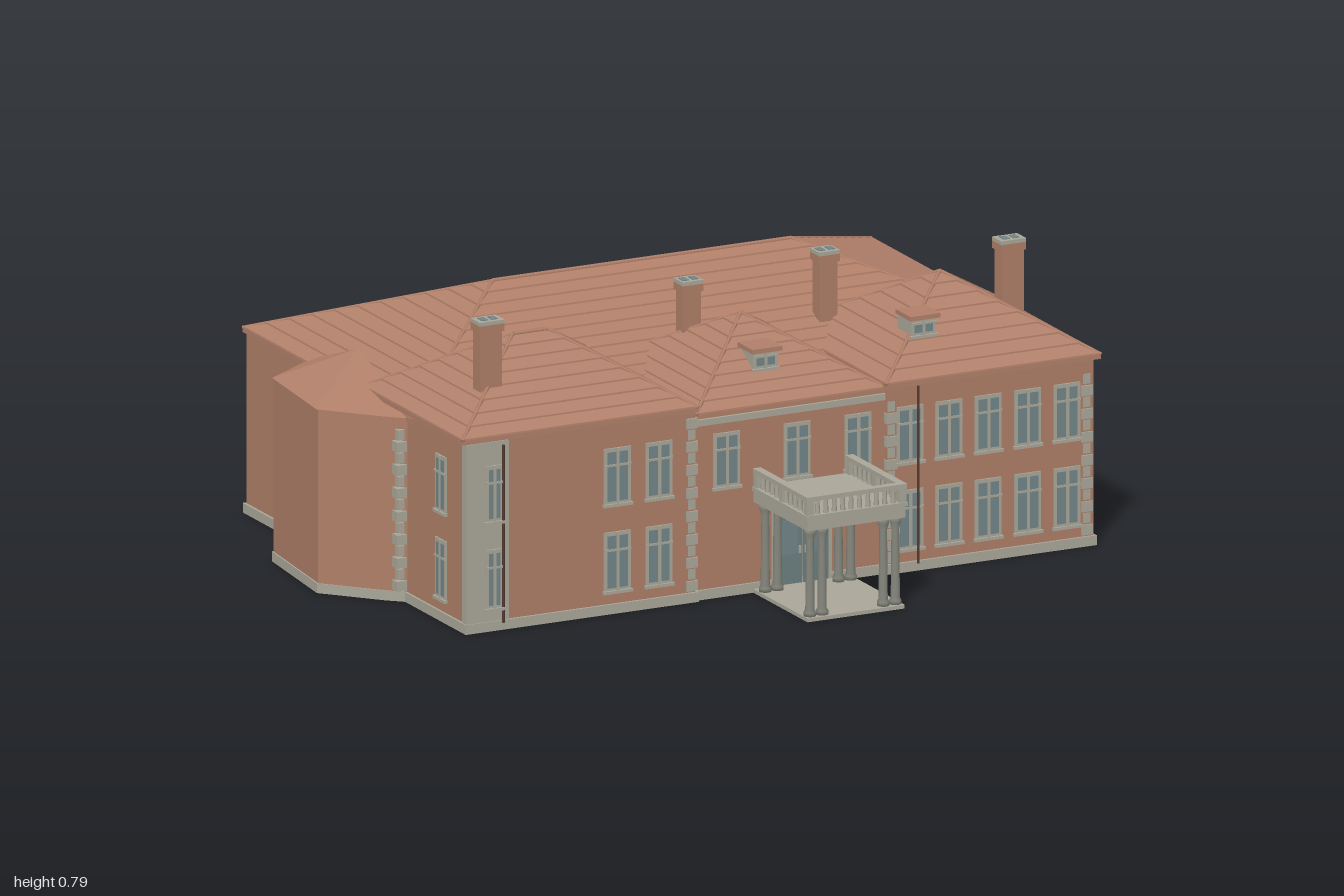
import * as THREE from 'three';

const mat = (name, color) => Object.assign(new THREE.MeshStandardMaterial({ color }), { name });

export function createModel() {
  const M = {
    brick: mat('brick', 0xae7e67), tile: mat('roof tile', 0xb07f69), dark: mat('dark trim', 0x553a30),
    stone: mat('stone', 0xa9a698), column: mat('column stone', 0x85867c),
    glass: mat('glass', 0x728486), door: mat('door', 0x6c7f81),
  };
  const root = new THREE.Group();
  root.name = 'house';

  const add = (name, geo, material, parent = root) => {
    const m = new THREE.Mesh(geo, material);
    m.name = name;
    parent.add(m);
    return m;
  };
  // Box given by its extents
  const box = (name, x0, x1, y0, y1, z0, z1, material, parent = root) => {
    const m = add(name, new THREE.BoxGeometry(x1 - x0, y1 - y0, z1 - z0), material, parent);
    m.position.set((x0 + x1) / 2, (y0 + y1) / 2, (z0 + z1) / 2);
  };
  const group = (name, parent = root) => {
    const g = new THREE.Group();
    g.name = name;
    parent.add(g);
    return g;
  };
  // Upright prism over a plan of [x, z] points
  const prism = (name, pts, y0, y1, material) => {
    const shape = new THREE.Shape(pts.map(([x, z]) => new THREE.Vector2(x, -z)));
    const g = new THREE.ExtrudeGeometry(shape, { depth: y1 - y0, bevelEnabled: false });
    add(name, g.rotateX(-Math.PI / 2).translate(0, y0, 0), material);
  };
  const faces = (pos) => {
    const g = new THREE.BufferGeometry();
    g.setAttribute('position', new THREE.Float32BufferAttribute(pos.flat(), 3));
    g.computeVertexNormals();
    return g;
  };
  const beam = (name, a, b, r, material, parent) => {
    const p = new THREE.Vector3(...a), q = new THREE.Vector3(...b), d = q.clone().sub(p);
    const m = add(name, new THREE.CylinderGeometry(r, r, d.length(), 6), material, parent);
    m.position.copy(p).add(q).multiplyScalar(0.5);
    m.quaternion.setFromUnitVectors(new THREE.Vector3(0, 1, 0), d.normalize());
  };

  // Hipped roof in lapped courses; rx is half the ridge length
  const hipRoof = (name, x0, x1, z0, z1, y0, y1, rx, n) => {
    const g = group(name);
    const cx = (x0 + x1) / 2, cz = (z0 + z1) / 2, hw = (x1 - x0) / 2, hd = (z1 - z0) / 2;
    const ring = (t, lift = 0) => [[-1, 1], [1, 1], [1, -1], [-1, -1]].map(([sx, sz]) =>
      [cx + sx * (hw + (rx - hw) * t), y0 + (y1 - y0) * t + lift, cz + sz * hd * (1 - t)]);
    const tiles = [];
    const band = (lo, hi) => {
      for (let k = 0; k < 4; k++) {
        const j = (k + 1) % 4;
        tiles.push(lo[k], lo[j], hi[j], lo[k], hi[j], hi[k]);
      }
    };
    for (let i = 0; i < n; i++) {
      const lap = ring((i + 0.02) / n, 0.004);
      band(ring(i / n), lap);
      band(lap, ring((i + 1) / n));
    }
    add('tileCourses', faces(tiles), M.tile, g);
    box('eaves', x0, x1, y0 - 0.012, y0, z0, z1, M.tile, g);
    const lo = ring(0), hi = ring(1);
    for (let k = 0; k < 4; k++) beam('hipTiles', lo[k], hi[k], 0.005, M.tile, g);
    if (rx > 0.01) beam('ridgeTiles', hi[0], hi[1], 0.006, M.tile, g);
  };

  // Walls and plinths
  box('mainWalls', -0.825, 0.975, 0.01, 0.485, -0.738, 0.5, M.brick);
  box('leftWingWalls', -0.828, -0.168, 0.01, 0.51, 0, 0.51, M.brick);
  box('rightWingWalls', 0.382, 0.978, 0.01, 0.497, 0, 0.51, M.brick);
  box('plinth', -0.832, 0.982, 0, 0.026, -0.745, 0.506, M.stone);
  box('leftWingPlinth', -0.834, -0.162, 0, 0.026, 0, 0.517, M.stone);
  box('rightWingPlinth', 0.376, 0.984, 0, 0.026, 0, 0.517, M.stone);
  box('cornice', -0.165, 0.38, 0.465, 0.482, 0.49, 0.508, M.stone);

  // Roofs
  hipRoof('mainRoof', -0.83, 0.98, -0.75, 0.21, 0.493, 0.68, 0.43, 11);
  hipRoof('leftWingRoof', -0.845, -0.165, -0.05, 0.52, 0.52, 0.695, 0.05, 8);
  hipRoof('middleRoof', -0.165, 0.385, -0.07, 0.506, 0.496, 0.66, 0, 8);
  hipRoof('rightWingRoof', 0.375, 0.995, -0.09, 0.52, 0.509, 0.695, 0, 8);

  // Side bay with a faceted roof
  const bay = [[-0.8, -0.42], [-0.965, -0.31], [-0.995, 0], [-0.868, 0.14], [-0.8, 0.2]];
  prism('sideBayWalls', [...bay].reverse(), 0.01, 0.49, M.brick);
  prism('sideBayPlinth', bay.map(([x, z]) => [x * 1.004, z * 1.01]).reverse(), 0, 0.026, M.stone);
  const apex = [-0.78, 0.572, -0.2], bayRoof = [];
  for (let i = 0; i < bay.length - 1; i++) {
    const [a, b] = [bay[i], bay[i + 1]].map(([x, z]) => [x * 1.005, 0.491, z]);
    bayRoof.push(a, b, apex);
  }
  add('sideBayRoof', faces(bayRoof), M.tile);

  // Rear bay with a flat stone roof
  const rear = [[-0.38, -0.73], [0.27, -0.73], [0.14, -0.805], [-0.275, -0.812]];
  const rearOuter = rear.map(([x, z]) => [x * 1.01, z * 1.008]);
  prism('rearBayWalls', rear, 0.01, 0.482, M.brick);
  prism('rearBayPlinth', rearOuter, 0, 0.026, M.stone);
  prism('rearBayRoof', rearOuter, 0.482, 0.494, M.stone);

  // Quoins: alternating long and short corner stones
  const quoins = (x, z, top, sx = 0.016, sz = 0.012) => {
    const g = group('quoins');
    for (let i = 0, y = 0.03; y + 0.028 < top; i++, y += 0.031) {
      const k = i % 2 ? 0.65 : 1;
      box('quoinStone', x - sx * k, x + sx * k, y, y + 0.027, z - sz * k, z + sz * k, M.stone, g);
    }
  };
  quoins(-0.18, 0.503, 0.5);
  quoins(0.395, 0.503, 0.49);
  quoins(0.958, 0.503, 0.49);
  quoins(-0.38, -0.738, 0.485);
  quoins(0.27, -0.738, 0.485);
  quoins(-0.83, -0.4, 0.485, 0.014, 0.016);
  quoins(-0.845, 0.165, 0.485, 0.014, 0.014);

  // Windows: stone surround, glass, mullion and transom
  const windowAt = (x, y0, y1, z, w = 0.076, parent = root) => {
    const g = group('window', parent);
    g.position.set(x, 0, z);
    const h = w / 2, t = y0 + (y1 - y0) * 0.68;
    box('surround', -h, h, y0, y1, -0.004, 0.003, M.stone, g);
    box('pane', -h + 0.009, h - 0.009, y0 + 0.009, y1 - 0.01, 0, 0.005, M.glass, g);
    box('mullion', -0.004, 0.004, y0, y1, 0, 0.007, M.stone, g);
    box('transom', -h, h, t, t + 0.006, 0, 0.007, M.stone, g);
    box('sill', -h - 0.004, h + 0.004, y0 - 0.006, y0 + 0.002, 0, 0.009, M.stone, g);
  };
  for (const x of [-0.395, -0.275, 0.448, 0.56, 0.673, 0.787, 0.9]) {
    windowAt(x, 0.292, 0.442, 0.511);
    windowAt(x, 0.06, 0.218, 0.511);
  }
  for (const x of [-0.075, 0.128, 0.303]) windowAt(x, 0.292, 0.438, 0.501);

  // Stone-faced corner with narrow windows, and matching side windows
  box('cornerFacing', -0.831, -0.708, 0.026, 0.505, 0.49, 0.514, M.stone);
  const side = group('sideWindows');
  side.rotation.y = -Math.PI / 2;
  for (const [a, b] of [[0.292, 0.442], [0.06, 0.218]]) {
    windowAt(-0.752, a, b, 0.515, 0.05);
    windowAt(0.37, a, b, 0.829, 0.06, side);
  }
  for (const x of [-0.727, 0.468]) beam('drainpipe', [x, 0.02, 0.52], [x, 0.495, 0.52], 0.0035, M.dark);

  // Entrance doors
  box('doorSurround', 0.055, 0.228, 0.008, 0.212, 0.495, 0.504, M.stone);
  for (const s of [-1, 1]) {
    const x = 0.141 + s * 0.038;
    box('doorLeaf', x - 0.036, x + 0.036, 0.008, 0.2, 0.5, 0.508, M.door);
    box('doorGlass', x - 0.022, x + 0.022, 0.09, 0.18, 0.5, 0.51, M.glass);
    box('doorHandle', 0.141 + s * 0.009 - 0.003, 0.141 + s * 0.009 + 0.003, 0.09, 0.11, 0.505, 0.513, M.stone);
  }

  // Porch: floor, columns, entablature and balustrade
  const porch = group('porch');
  box('porchFloor', 0, 0.28, 0, 0.01, 0.5, 0.812, M.stone, porch);
  const profile = [[0, 0], [0.016, 0], [0.016, 0.012], [0.012, 0.02], [0.01, 0.205], [0.015, 0.222], [0.015, 0.235], [0, 0.235]]
    .map(([x, y]) => new THREE.Vector2(x, y));
  const columnGeo = new THREE.LatheGeometry(profile, 12);
  for (const z of [0.79, 0.538]) {
    for (const x of [0.018, 0.053, 0.229, 0.264]) add('column', columnGeo, M.column, porch).position.set(x, 0.008, z);
  }
  box('entablature', 0, 0.282, 0.243, 0.275, 0.508, 0.812, M.stone, porch);
  box('entablatureLip', -0.005, 0.287, 0.275, 0.285, 0.508, 0.818, M.stone, porch);
  box('frontRail', -0.003, 0.285, 0.322, 0.334, 0.795, 0.816, M.stone, porch);
  for (const x of [0.008, 0.274]) {
    box('sideRail', x - 0.011, x + 0.011, 0.322, 0.334, 0.51, 0.81, M.stone, porch);
    for (const z of [0.52, 0.665, 0.805]) box('railPost', x - 0.01, x + 0.01, 0.28, 0.325, z - 0.01, z + 0.01, M.stone, porch);
  }
  const balusterGeo = new THREE.CylinderGeometry(0.005, 0.007, 0.042, 6);
  const baluster = (x, z) => add('baluster', balusterGeo, M.stone, porch).position.set(x, 0.304, z);
  for (let i = 1; i < 11; i++) {
    baluster(0.008 + i * 0.0242, 0.805);
    baluster(0.008, 0.52 + i * 0.026);
    baluster(0.274, 0.52 + i * 0.026);
  }

  // Chimneys with stone caps and paired flues
  for (const [x, z, y0, y1] of [[-0.69, 0.358, 0.58, 0.785], [0.842, 0.3, 0.56, 0.785], [0.022, 0.097, 0.56, 0.73], [0.443, 0.042, 0.55, 0.74]]) {
    const g = group('chimney'), w = y1 > 0.75 ? 0.031 : 0.025;
    box('stack', x - w, x + w, y0, y1 - 0.01, z - 0.022, z + 0.022, M.brick, g);
    box('corbel', x - w - 0.005, x + w + 0.005, y1 - 0.03, y1 - 0.01, z - 0.026, z + 0.026, M.brick, g);
    box('cap', x - w - 0.005, x + w + 0.005, y1 - 0.01, y1, z - 0.026, z + 0.026, M.stone, g);
    for (const s of [-1, 1]) box('flue', x + s * 0.014 - 0.009, x + s * 0.014 + 0.009, y1 - 0.005, y1 + 0.002, z - 0.014, z + 0.014, M.glass, g);
  }

  // Dormers
  for (const [x, y] of [[0.09, 0.56], [0.545, 0.588]]) {
    const g = group('dormer');
    box('cheeks', x - 0.035, x + 0.035, y - 0.02, y + 0.045, 0.32, 0.395, M.stone, g);
    windowAt(x, y, y + 0.045, 0.396, 0.07, g);
    box('hood', x - 0.043, x + 0.043, y + 0.045, y + 0.057, 0.325, 0.41, M.tile, g);
  }
  return root;
}
